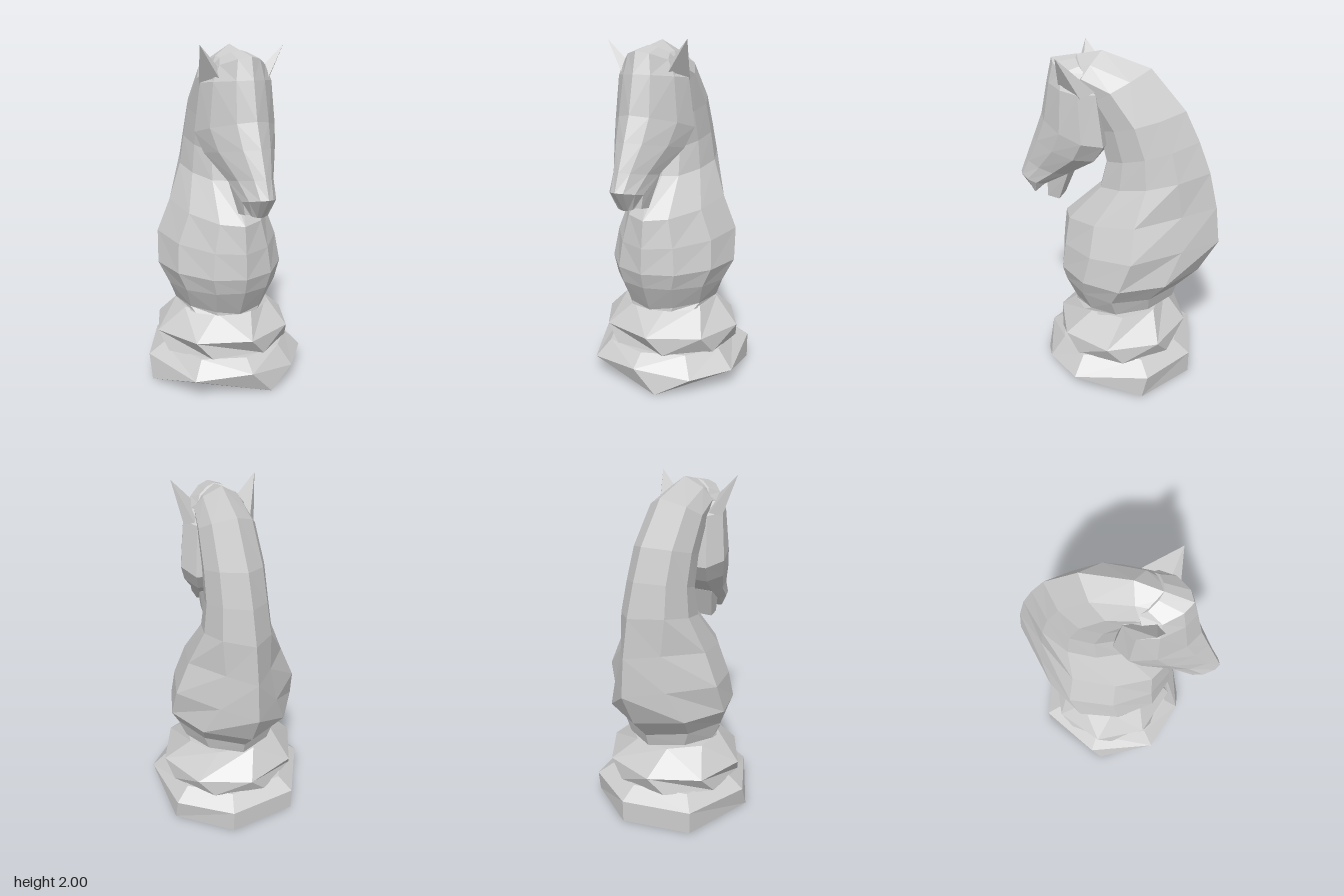
import * as THREE from 'three';
import { ConvexGeometry } from 'three/addons/geometries/ConvexGeometry.js';

const material = new THREE.MeshStandardMaterial({ color: 0xcccccc, flatShading: true });

// Skin a stack of equal-length rings ([x, y, z] points) and close both ends.
function loft(name, rings) {
  const pos = [];
  const tri = (a, b, c) => pos.push(...a, ...b, ...c);
  const centre = r => [0, 1, 2].map(k => r.reduce((s, p) => s + p[k], 0) / r.length);
  const n = rings[0].length, last = rings[rings.length - 1];
  const c0 = centre(rings[0]), c1 = centre(last);
  for (let j = 0; j < n; j++) {
    const k = (j + 1) % n;
    tri(c0, rings[0][k], rings[0][j]);
    tri(c1, last[j], last[k]);
    for (let i = 0; i < rings.length - 1; i++) {
      const a = rings[i][j], b = rings[i][k], c = rings[i + 1][k], d = rings[i + 1][j];
      // mirror the diagonals between the two sides
      if (j < n / 2) { tri(a, b, c); tri(a, c, d); } else { tri(a, b, d); tri(b, c, d); }
    }
  }
  const geo = new THREE.BufferGeometry();
  geo.setAttribute('position', new THREE.Float32BufferAttribute(pos, 3));
  geo.computeVertexNormals();
  const mesh = new THREE.Mesh(geo, material);
  mesh.name = name;
  return mesh;
}

// Symmetric section between a front and a back point (z, y); the profile
// lists [fraction towards the back, fraction of the half width].
function section([fz, fy], [bz, by], w, profile) {
  const side = profile.map(([t, f]) => [w * f, fy + (by - fy) * t, fz + (bz - fz) * t]);
  const mirrored = side.slice(1, -1).reverse().map(([x, y, z]) => [-x, y, z]);
  return [...side, ...mirrored];
}

function hull(name, points) {
  const mesh = new THREE.Mesh(new ConvexGeometry(points.map(p => new THREE.Vector3(...p))), material);
  mesh.name = name;
  return mesh;
}

export function createModel() {
  const group = new THREE.Group();

  // Foot: an uneven slab, eight corners on the rim over five at the floor
  const floor = [[0.13, 0.44], [0.13, 0.44], [0.42, -0.28], [0.42, -0.28],
    [0.1, -0.5], [-0.31, -0.41], [-0.48, 0.03], [-0.48, 0.03]];
  const rim = [[0, 0.14, 0.455], [0.31, 0.09, 0.35], [0.48, 0.1, 0.13], [0.41, 0.14, -0.31],
    [0.1, 0.14, -0.5], [-0.31, 0.14, -0.41], [-0.48, 0.14, -0.03], [-0.32, 0.11, 0.36]];
  group.add(loft('foot', [
    floor.map(([x, z]) => [x, 0, z]),
    rim,
    rim.map(([x, , z]) => [x * 0.8, 0.207, z * 0.8]),
  ]));

  // Upper tier of the base, twisted so its facets zigzag
  const ring = (r, y, turn) => Array.from({ length: 8 }, (_, i) => {
    const a = (i + turn) * Math.PI / 4;
    return [Math.sin(a) * r, y, Math.cos(a) * r * 0.94 - 0.03];
  });
  group.add(loft('baseTier', [ring(0.41, 0.2, 0.4), ring(0.43, 0.305, 0.1), ring(0.285, 0.45, 0.4)]));

  // Chest and arched neck: round at the collar, ridged along the mane above
  const round = [[0, 0], [0.07, 0.48], [0.28, 0.87], [0.55, 1], [0.83, 0.65], [1, 0]];
  const chest = [[0, 0], [0.07, 0.46], [0.28, 0.87], [0.55, 1], [0.81, 0.46], [1, 0]];
  const ridged = [[0, 0], [0.04, 0.5], [0.25, 0.88], [0.5, 1], [0.76, 0.7], [1, 0]];
  const neck = [
    [[0.26, 0.44], [-0.16, 0.44], 0.27, round],
    [[0.27, 0.46], [-0.355, 0.49], 0.285, round],
    [[0.335, 0.6], [-0.38, 0.57], 0.33, round],
    [[0.36, 0.69], [-0.51, 0.71], 0.38, round],
    [[0.35, 0.84], [-0.62, 0.92], 0.36, chest],
    [[0.33, 1.0], [-0.595, 1.14], 0.28, chest],
    [[0.1, 1.22], [-0.545, 1.35], 0.195, ridged],
    [[0.06, 1.38], [-0.475, 1.53], 0.175, ridged],
    [[0.1, 1.56], [-0.39, 1.7], 0.17, ridged],
    [[0.18, 1.7], [-0.19, 1.92], 0.16, ridged],
    [[0.24, 1.74], [0.09, 2.0], 0.14, ridged],
    [[0.3, 1.75], [0.3, 1.955], 0.1, ridged],
  ];
  group.add(loft('neck', neck.map(s => section(...s))));

  // Head from muzzle tip up to the forehead, with a ridge down the face
  const face = [[0, 0], [0.12, 0.4], [0.42, 0.84], [0.75, 1], [1, 0.72], [1, 0]];
  const head = [
    [[0.53, 1.105], [0.5, 1.125], 0.055],
    [[0.62, 1.22], [0.44, 1.185], 0.095],
    [[0.58, 1.32], [0.29, 1.275], 0.125],
    [[0.52, 1.47], [0.1, 1.4], 0.2],
    [[0.465, 1.61], [0.035, 1.5], 0.232],
    [[0.42, 1.82], [0.08, 1.79], 0.205],
    [[0.39, 1.94], [0.11, 1.83], 0.16],
    [[0.24, 1.97], [0.12, 1.87], 0.12],
  ];
  group.add(loft('head', head.map(s => section(...s, face))));

  // Lower jaw, leaving a notch for the mouth
  const jaw = [];
  for (const [w, y, z] of [[0.09, 1.28, 0.28], [0.07, 1.26, 0.42], [0.065, 1.19, 0.385],
    [0.05, 1.1, 0.43], [0.055, 1.09, 0.355]]) jaw.push([w, y, z], [-w, y, z]);
  group.add(hull('lowerJaw', jaw));

  // Pointed ears
  const ear = [[0.205, 1.78, 0.15], [0.16, 1.81, 0.08], [0.09, 1.84, 0.24], [0.13, 1.8, 0.3], [0.245, 2.0, 0.27]];
  for (const [name, s] of [['leftEar', 1], ['rightEar', -1]]) {
    group.add(hull(name, ear.map(([x, y, z]) => [x * s, y, z])));
  }
  return group;
}
